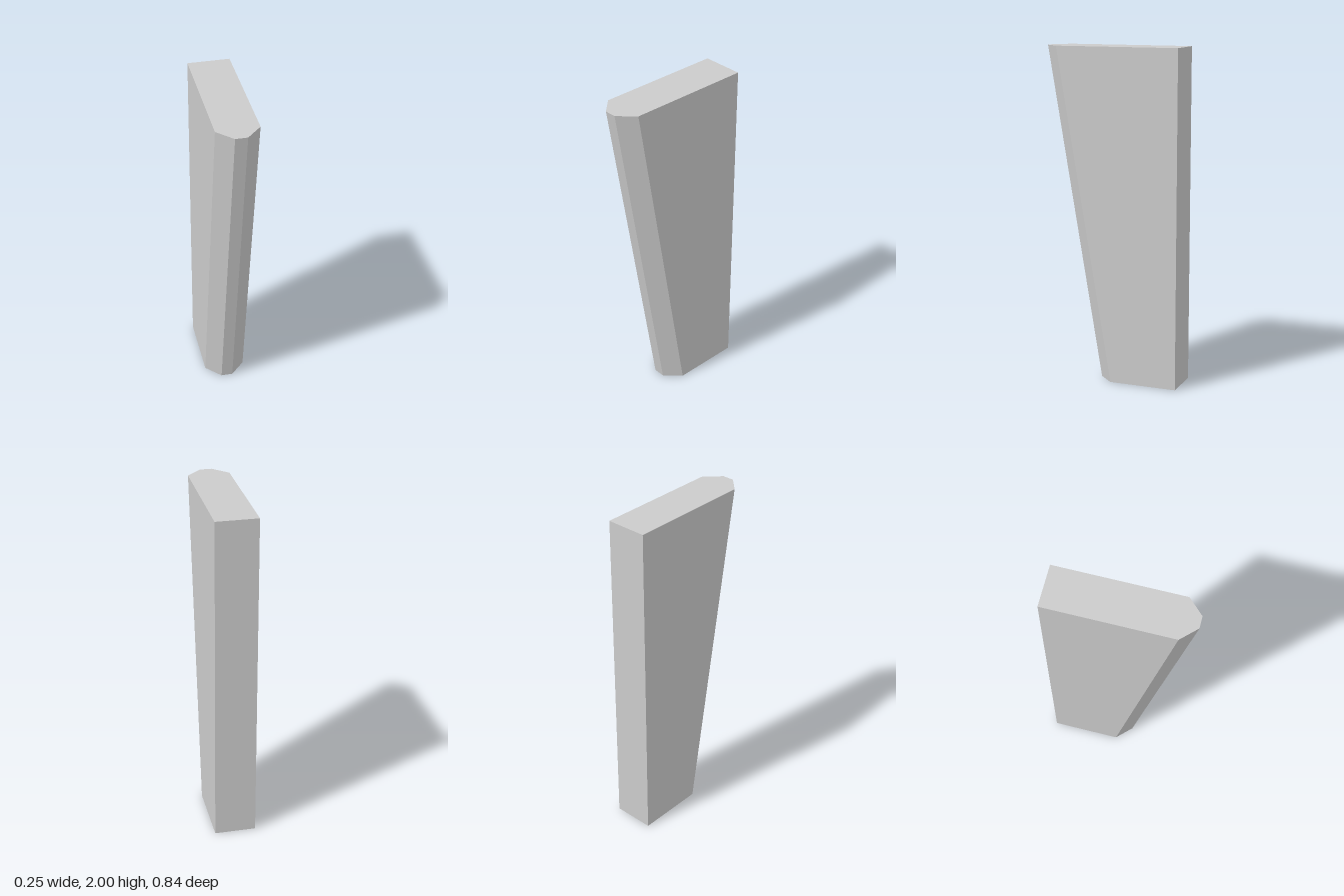
import * as THREE from 'three';

const HEIGHT = 2, HALF_WIDTH = 0.123, HALF_NOSE = 0.035;
const BACK = -0.42, SHOULDER = 0.33, FRONT = 0.42;
const SETBACK = 0.34; // how far the front edge recedes at the foot

export function createModel() {
  const group = new THREE.Group();
  group.name = 'taperedFin';

  // plan outline with chamfered front corners (shape y is -z)
  const plan = new THREE.Shape([
    [HALF_WIDTH, -BACK], [-HALF_WIDTH, -BACK], [-HALF_WIDTH, -SHOULDER],
    [-HALF_NOSE, -FRONT], [HALF_NOSE, -FRONT], [HALF_WIDTH, -SHOULDER],
  ].map(([x, y]) => new THREE.Vector2(x, y)));

  const geometry = new THREE.ExtrudeGeometry(plan, { depth: HEIGHT, bevelEnabled: false });
  geometry.rotateX(-Math.PI / 2);

  // slope the front: slide its corners back towards the foot
  const pos = geometry.attributes.position;
  for (let i = 0; i < pos.count; i++) {
    if (pos.getZ(i) > 0) pos.setZ(i, pos.getZ(i) - SETBACK * (1 - pos.getY(i) / HEIGHT));
  }
  geometry.computeVertexNormals();

  const body = new THREE.Mesh(geometry, new THREE.MeshStandardMaterial({ color: 0xcccccc, flatShading: true }));
  body.name = 'body';
  group.add(body);
  return group;
}
